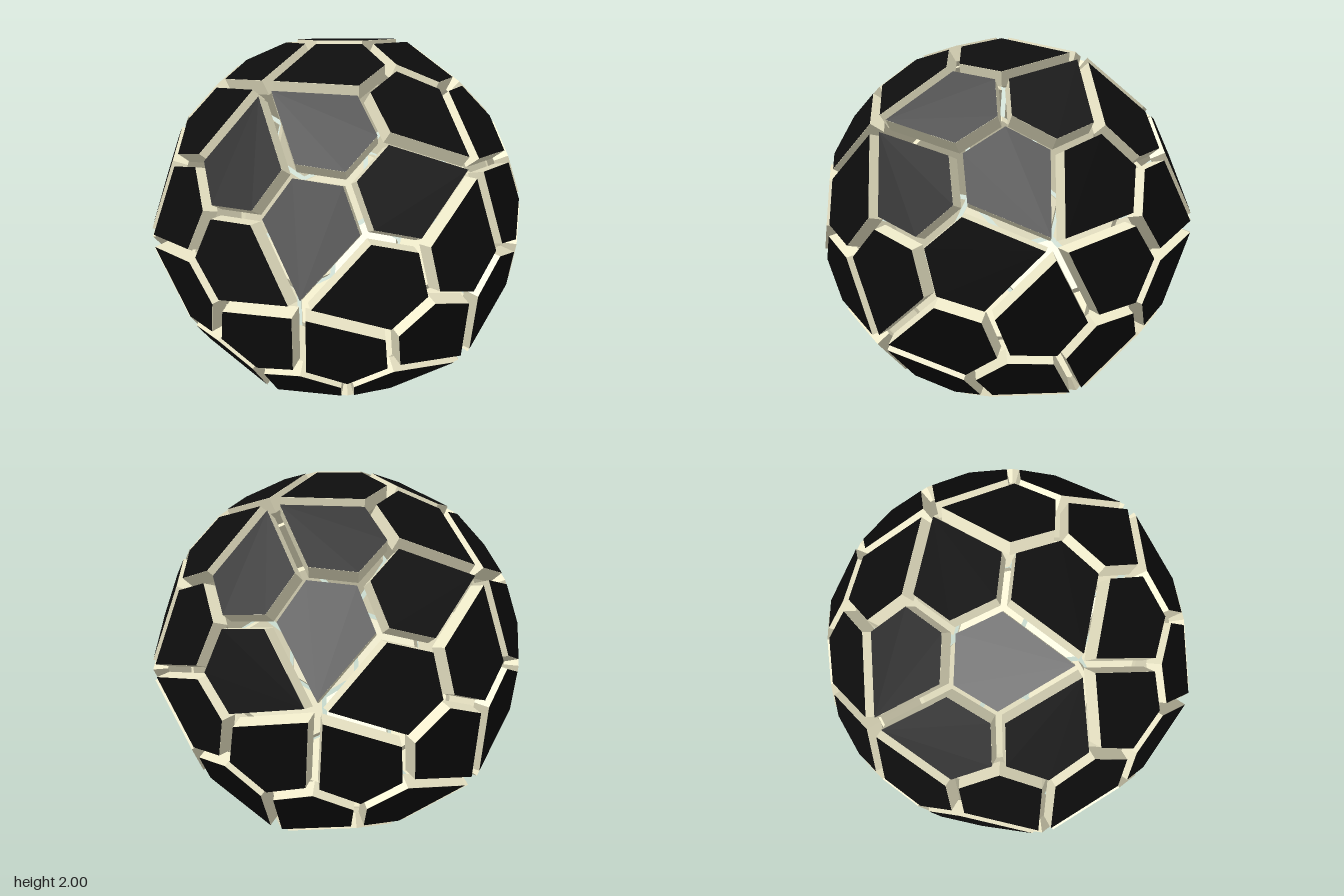
import * as THREE from 'three';

// Spherical shell of 60 thick pentagonal tiles (pentagonal hexecontahedron), spread slightly apart.
const INNER = 0.9;       // distance of tile undersides from the centre
const OUTER = 0.98;      // distance of tile tops from the centre
const APOTHEM = 0.199;   // incircle radius of one tile

// Pentagon with one sharp corner (pointing +y) and four equal blunt ones
function tileShape() {
  const rad = THREE.MathUtils.degToRad;
  const sharp = APOTHEM / Math.sin(rad(33.73));
  const blunt = APOTHEM / Math.cos(rad(30.93));
  const corners = [[0, sharp], [87.2, blunt], [149.07, blunt], [210.93, blunt], [272.8, blunt]];
  return new THREE.Shape(corners.map(([deg, r]) =>
    new THREE.Vector2(-Math.sin(rad(deg)) * r, Math.cos(rad(deg)) * r)));
}

// The 60 rotations of an icosahedron: 5 turns x 3 axis cycles x 4 half turns
function icosahedralRotations(fiveFoldAxis) {
  const list = [];
  const diagonal = new THREE.Vector3(1, 1, 1).normalize();
  const halfTurns = [[0, 0, 0, 1], [1, 0, 0, 0], [0, 1, 0, 0], [0, 0, 1, 0]];
  for (const h of halfTurns) {
    for (let c = 0; c < 3; c++) {
      for (let k = 0; k < 5; k++) {
        const cycle = new THREE.Quaternion().setFromAxisAngle(diagonal, c * Math.PI * 2 / 3);
        const turn = new THREE.Quaternion().setFromAxisAngle(fiveFoldAxis, k * Math.PI * 2 / 5);
        list.push(new THREE.Quaternion(...h).multiply(cycle).multiply(turn));
      }
    }
  }
  return list;
}

export function createModel() {
  const model = new THREE.Group();
  model.name = 'tiledSphere';
  const cream = new THREE.MeshStandardMaterial({ color: 0xede8c8, flatShading: true });
  const black = new THREE.MeshStandardMaterial({ color: 0x0d0d0d, flatShading: true });

  // One tile: a cream block with a black top
  const shape = tileShape();
  const blockGeometry = new THREE.ExtrudeGeometry(shape, { depth: OUTER - INNER, bevelEnabled: false });
  blockGeometry.translate(0, 0, INNER);
  const topGeometry = new THREE.ShapeGeometry(shape);
  topGeometry.translate(0, 0, OUTER + 0.001);

  // Frame of the first tile: z outward, y toward its sharp corner
  const fiveFold = new THREE.Vector3(0, 1, (1 + Math.sqrt(5)) / 2).normalize();
  const out = new THREE.Vector3(-0.1536, 0.1739, 0.9727).normalize();
  const up = fiveFold.clone().addScaledVector(out, -fiveFold.dot(out)).normalize();
  const side = new THREE.Vector3().crossVectors(up, out);
  const first = new THREE.Quaternion().setFromRotationMatrix(new THREE.Matrix4().makeBasis(side, up, out));

  for (const rotation of icosahedralRotations(fiveFold)) {
    const tile = new THREE.Group();
    tile.name = 'tile';
    const block = new THREE.Mesh(blockGeometry, cream);
    block.name = 'tileBlock';
    const top = new THREE.Mesh(topGeometry, black);
    top.name = 'tileTop';
    tile.add(block, top);
    tile.quaternion.copy(rotation).multiply(first);
    tile.position.y = 1;
    model.add(tile);
  }
  return model;
}
